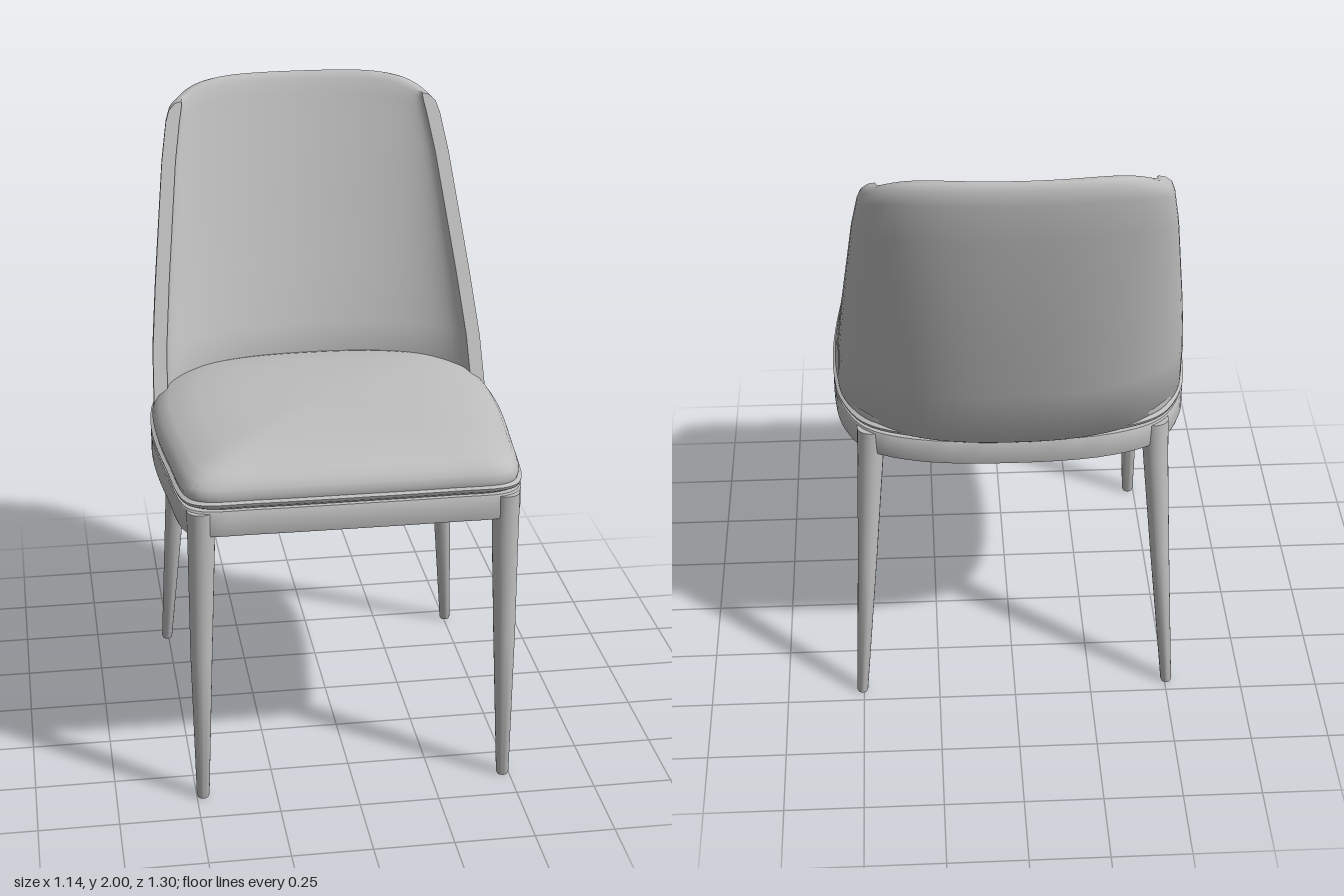
import * as THREE from 'three';
import { toCreasedNormals } from 'three/addons/utils/BufferGeometryUtils.js';

const grey = new THREE.MeshStandardMaterial({ color: 0xbebebe });
grey.name = 'plain grey';

// Skin a stack of closed rings (bottom to top, counter-clockwise from above)
function loft(rings, crease = 0.8) {
  const n = rings[0].length, idx = [], pts = rings.flat();
  const tri = (a, b, c) => {
    const [p, q, r] = [pts[a], pts[b], pts[c]];
    if (p.distanceTo(q) > 1e-6 && q.distanceTo(r) > 1e-6 && r.distanceTo(p) > 1e-6) idx.push(a, b, c);
  };
  for (let i = 0; i < rings.length - 1; i++) {
    for (let j = 0; j < n; j++) {
      const k = (j + 1) % n, a = i * n + j, b = i * n + k;
      tri(a, b, b + n);
      tri(a, b + n, a + n);
    }
  }
  const g = new THREE.BufferGeometry().setFromPoints(pts);
  g.setIndex(idx);
  return toCreasedNormals(g, crease);
}

function add(group, name, geometry) {
  const mesh = new THREE.Mesh(geometry, grey);
  mesh.name = name;
  group.add(mesh);
}

// Plan outline shared by the cushion and the frame
const half = [[0, 0.645], [0.3, 0.643], [0.465, 0.635], [0.51, 0.595], [0.545, 0.35], [0.565, 0.1],
  [0.56, -0.08], [0.535, -0.22], [0.46, -0.35], [0.3, -0.42], [0, -0.445]];
const mirrored = half.slice(1, -1).reverse().map(([x, z]) => [-x, z]);
const outline = new THREE.CatmullRomCurve3(
  [...half, ...mirrored].map(([x, z]) => new THREE.Vector3(x, 0, z)), true, 'centripetal').getPoints(96).slice(0, -1);
const planRing = ([s, y]) => outline.map(p => new THREE.Vector3(p.x * s, y, 0.1 + (p.z - 0.1) * s));

// Crescent-shaped backrest, thick at the bottom and thin at the top
function backrest() {
  // centre height, wing height, half width, outer z, inner z, closing amount
  const rows = [
    [0.965, 0.99, 0.535, -0.43, -0.33, 1],
    [0.965, 0.99, 0.545, -0.44, -0.31, 0.3],
    [1.0, 1.02, 0.55, -0.468, -0.305, 0],
    [1.2, 1.2, 0.543, -0.515, -0.355, 0],
    [1.4, 1.4, 0.522, -0.56, -0.42, 0],
    [1.6, 1.58, 0.5, -0.6, -0.485, 0],
    [1.8, 1.76, 0.478, -0.633, -0.548, 0],
    [1.93, 1.88, 0.457, -0.65, -0.595, 0],
    [1.975, 1.915, 0.447, -0.65, -0.607, 0.1],
    [1.995, 1.935, 0.435, -0.645, -0.612, 0.5],
    [2.0, 1.94, 0.425, -0.64, -0.615, 1],
  ];
  const N = 40;
  return loft(rows.map(([yc, yw, w, zb, zi, close]) => {
    const zf = -0.07 - 0.462 * (yw - 1);
    const arc = (a, depth, power, t) => {
      const c = Math.cos(t), s = Math.abs(Math.sin(t));
      const x = a * Math.sign(c) * Math.abs(c) ** (2 / power);
      const y = THREE.MathUtils.lerp(yc, yw, Math.abs(x / a) ** 6);
      return new THREE.Vector3(x, y, zf + (depth - zf) * s ** (2 / power));
    };
    const outer = [], inner = [];
    for (let i = 0; i <= N; i++) {
      const t = Math.PI * i / N;
      const o = arc(w, zb, 2.4, t), n = arc(w - 0.045, zi, 1.9, t);
      const mid = o.clone().lerp(n, 0.5);
      outer.push(o.lerp(mid, close));
      inner.unshift(n.lerp(mid, close));
    }
    return [...outer, ...inner];
  }), 1.0);
}

// Tapered round leg through [x, y, z, radius] stations; side mirrors it
function leg(stations, side) {
  const ring = (x, y, z, r) => Array.from({ length: 20 }, (_, i) => {
    const t = i / 20 * Math.PI * 2;
    return new THREE.Vector3(x * side + r * Math.cos(t), y, z - r * Math.sin(t));
  });
  const first = stations[0], last = stations[stations.length - 1];
  const capped = [[...first.slice(0, 3), 0], ...stations, [...last.slice(0, 3), 0]];
  return loft(capped.map(s => ring(...s)));
}

export function createModel() {
  const chair = new THREE.Group();
  chair.name = 'chair';

  // Domed cushion with a thin welt at its lower edge
  add(chair, 'seatCushion', loft([[0, 0.985], [0.965, 0.985], [1, 0.998], [1.005, 1.008], [0.985, 1.014],
    [0.992, 1.03], [0.98, 1.05], [0.955, 1.07], [0.9, 1.09], [0.75, 1.113], [0.55, 1.127], [0.3, 1.136],
    [0, 1.14]].map(planRing), 1.0));

  // Frame rail and closed underside
  add(chair, 'seatFrame', loft([[0, 0.912], [0.95, 0.912], [0.955, 0.905], [1, 0.905], [1.003, 0.911],
    [1.003, 0.98], [0.997, 0.986], [0, 0.986]].map(planRing), 0.6));

  add(chair, 'backrest', backrest());

  // Legs
  const front = [[0.48, 0, 0.625, 0.017], [0.48, 0.008, 0.625, 0.02], [0.474, 0.5, 0.612, 0.034],
    [0.467, 0.85, 0.609, 0.041], [0.467, 0.98, 0.609, 0.042]];
  const back = [[0.505, 0, -0.449, 0.015], [0.505, 0.008, -0.448, 0.018], [0.473, 0.5, -0.388, 0.031],
    [0.452, 0.85, -0.345, 0.04], [0.446, 0.98, -0.33, 0.044]];
  for (const side of [1, -1]) {
    const label = side > 0 ? 'Left' : 'Right';
    add(chair, 'front' + label + 'Leg', leg(front, side));
    add(chair, 'back' + label + 'Leg', leg(back, side));
  }
  return chair;
}
